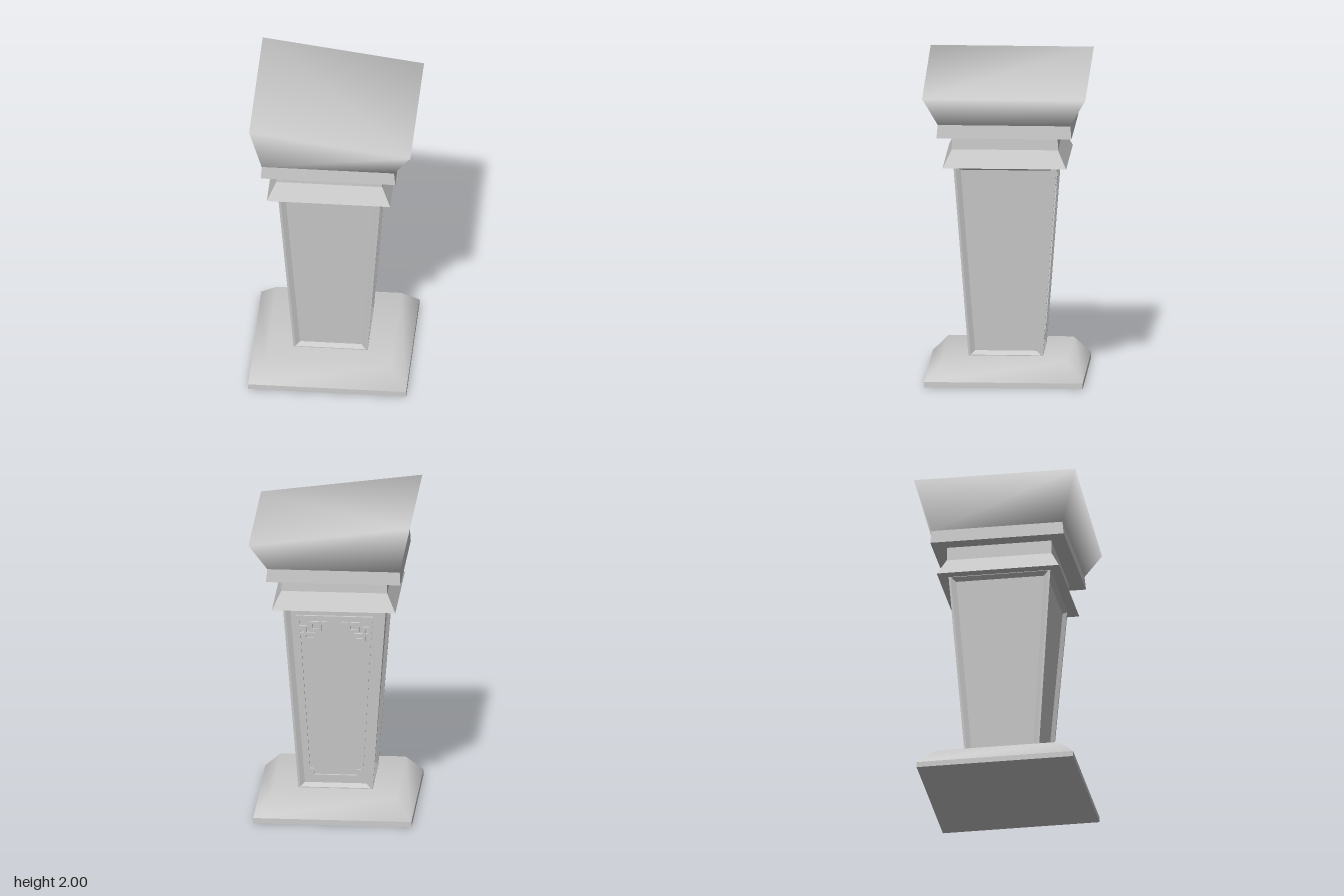
import * as THREE from 'three';

const material = new THREE.MeshStandardMaterial({ color: 0xcccccc });
const CX = -0.015; // the column stands slightly off the centre of the cap

// Skin a series of four-cornered rings; optional faces close the ends.
function loft(name, rings, { smooth = false, start = true, end = true } = {}) {
  const index = [];
  const last = (rings.length - 1) * 4;
  for (let r = 0; r < last; r += 4) {
    for (let i = 0; i < 4; i++) {
      const a = r + i, b = r + (i + 1) % 4;
      index.push(a, b, b + 4, a, b + 4, a + 4);
    }
  }
  if (start) index.push(0, 2, 1, 0, 3, 2);
  if (end) index.push(last, last + 1, last + 2, last, last + 2, last + 3);
  let geometry = new THREE.BufferGeometry();
  geometry.setAttribute('position', new THREE.Float32BufferAttribute(rings.flat(2), 3));
  geometry.setIndex(index);
  if (!smooth) geometry = geometry.toNonIndexed();
  geometry.computeVertexNormals();
  const mesh = new THREE.Mesh(geometry, material);
  mesh.name = name;
  return mesh;
}

// Horizontal rectangle; yLeft and yRight let it tilt along x.
const ring = (x0, x1, z0, z1, yLeft, yRight = yLeft) => [
  [x1, yRight, z1], [x1, yRight, z0], [x0, yLeft, z0], [x0, yLeft, z1],
];
const square = (half, y) => ring(CX - half, CX + half, -half + 0.003, half + 0.003, y);

// Shaft dimensions
const Y0 = 0.15, Y1 = 1.392;
const halfAt = (y) => 0.235 + 0.09 * (y - 0.155) / 1.23;

// One side of the shaft: corner posts bevelled down to a sunken panel.
function shaftSide() {
  const frame = (inset, y0, y1, depth) => [[-1, y0], [1, y0], [1, y1], [-1, y1]].map(
    ([s, y]) => [s * (halfAt(y) - inset), y, halfAt(y) - depth]);
  return loft('shaftPanel', [
    frame(0, Y0, Y1, 0),
    frame(0.014, 0.16, 1.385, 0),
    frame(0.043, 0.185, 1.362, 0.022),
  ], { start: false });
}

// Raised fretwork on the back panel, in the panel's own plane.
function fretwork() {
  const group = new THREE.Group();
  group.name = 'backFretwork';
  const bar = (u0, v0, u1, v1, name = 'fretBar', w = 0.016) => {
    const length = Math.hypot(u1 - u0, v1 - v0) + w;
    const mesh = new THREE.Mesh(new THREE.BoxGeometry(length, w, 0.018), material);
    mesh.position.set((u0 + u1) / 2, (v0 + v1) / 2, 0);
    mesh.rotation.z = Math.atan2(v1 - v0, u1 - u0);
    mesh.name = name;
    group.add(mesh);
  };
  const top = 1.17, bottom = 0.08;
  for (const s of [-1, 1]) {
    const path = (points) => {
      for (let i = 1; i < points.length; i++) {
        const [a, b] = [points[i - 1], points[i]];
        bar(s * a[0], a[1], s * b[0], b[1]);
      }
    };
    // long side rail with a stepped lower corner
    path([[0.222, top - 0.15], [0.168, bottom + 0.04], [0.14, bottom + 0.04], [0.14, bottom]]);
    // interlocking squares in the upper corner
    path([[0.222, top - 0.15], [0.235, top], [0.09, top], [0.09, top - 0.09],
      [0.15, top - 0.09], [0.15, top - 0.04], [0.05, top - 0.04]]);
    path([[0.222, top - 0.07], [0.185, top - 0.07], [0.185, top - 0.15],
      [0.13, top - 0.15], [0.13, top - 0.115], [0.222, top - 0.115]]);
  }
  bar(-0.09, top, 0.09, top, 'topRail');
  bar(-0.14, bottom, 0.14, bottom, 'bottomRail');
  return group;
}

export function createModel() {
  const model = new THREE.Group();
  model.name = 'pedestal';

  // Base: thin plinth edge and a sloping top
  model.add(loft('plinth', [square(0.5, 0), square(0.5, 0.035)], { end: false }));
  model.add(loft('baseSlope', [square(0.5, 0.035), square(0.395, 0.155)],
    { smooth: true, start: false }));

  // Tapered shaft with four sunken panels
  const shaft = new THREE.Group();
  shaft.name = 'shaft';
  shaft.position.set(CX, 0, 0.003);
  for (let i = 0; i < 4; i++) {
    const side = shaftSide();
    side.rotation.y = i * Math.PI / 2;
    shaft.add(side);
  }
  const back = new THREE.Group();
  back.name = 'backPanelOrnament';
  back.rotation.y = Math.PI;
  const ornament = fretwork();
  ornament.position.set(0, 0.155, 0.235 - 0.018);
  ornament.rotation.x = Math.atan(0.09 / 1.23);
  back.add(ornament);
  shaft.add(back);
  model.add(shaft);

  // Flared collar and the neck above it
  model.add(loft('collar', [square(0.39, 1.388), square(0.335, 1.5)], { end: false }));
  model.add(loft('neck', [square(0.335, 1.5), square(0.333, 1.595)], { start: false }));

  // Cap: a narrow band below a smooth, flaring block with a sloping top
  const capFoot = ring(-0.435, 0.402, -0.415, 0.422, 1.672);
  model.add(loft('capBand', [ring(-0.44, 0.41, -0.422, 0.43, 1.588), capFoot], { end: false }));
  model.add(loft('cap', [capFoot, ring(-0.507, 0.513, -0.515, 0.515, 2, 1.86)],
    { smooth: true, start: false }));
  return model;
}
